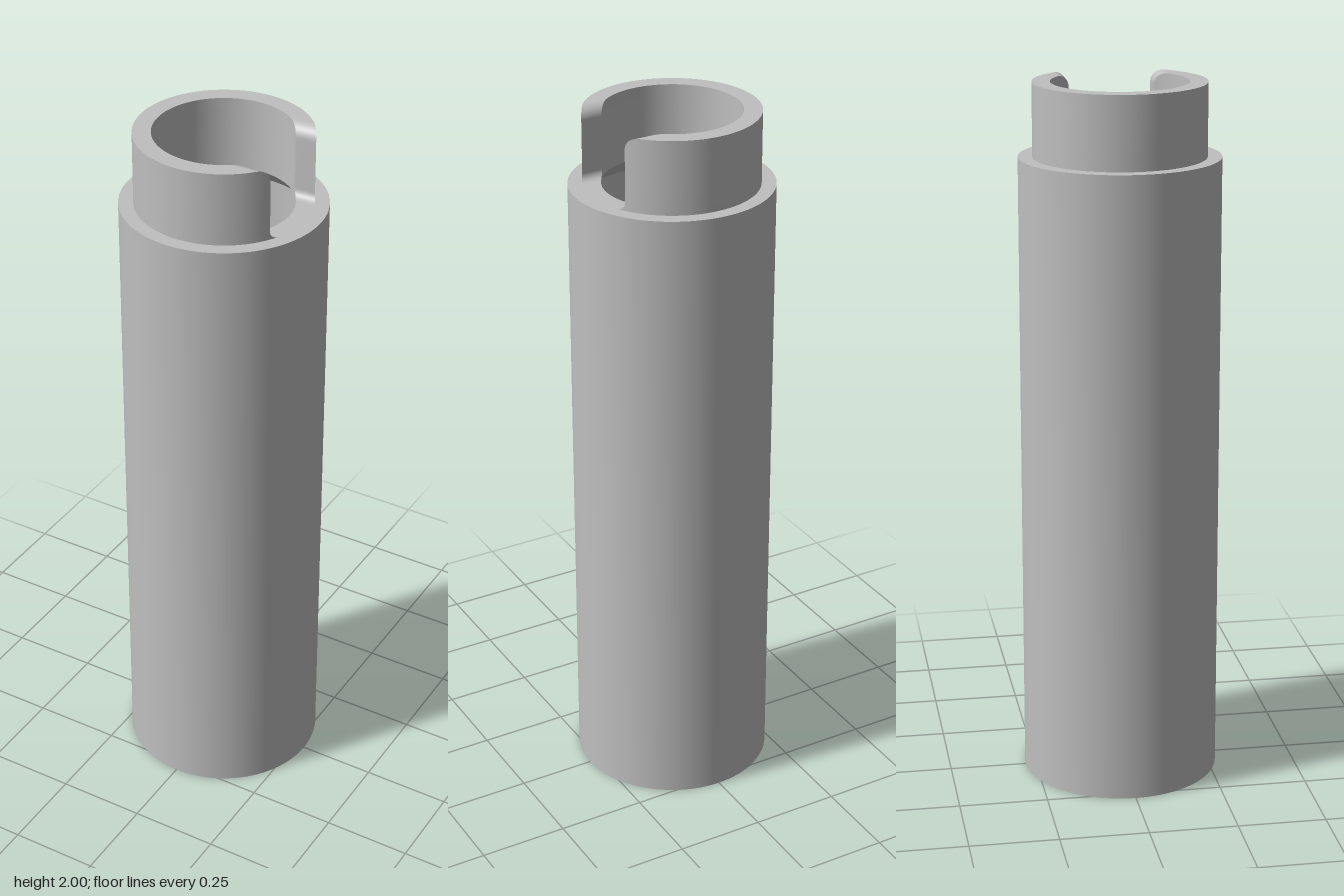
import * as THREE from 'three';
import { mergeGeometries, toCreasedNormals } from 'three/addons/utils/BufferGeometryUtils.js';

const OUTER = 0.28, NECK = 0.24, BORE = 0.19;
const SHOULDER = 1.795, TOP = 2;
const SLOT = 0.12, FILLET = 0.022, ROUND = 0.035;

// Grid surface from a function (u, v) -> [x, y, z]; front side faces du x dv
function patch(fn, nu, nv) {
  const pos = [], idx = [];
  for (let j = 0; j <= nv; j++)
    for (let i = 0; i <= nu; i++) pos.push(...fn(i / nu, j / nv));
  for (let j = 0; j < nv; j++)
    for (let i = 0; i < nu; i++) {
      const a = j * (nu + 1) + i, b = a + 1, d = a + nu + 1, c = d + 1;
      idx.push(a, b, c, a, c, d);
    }
  const g = new THREE.BufferGeometry();
  g.setAttribute('position', new THREE.Float32BufferAttribute(pos, 3));
  g.setIndex(idx);
  g.computeVertexNormals();
  return g;
}

// Slot edge as [half width, height]: fillet at the floor, rounded corner at the top
function slotEdge() {
  const pts = [], n = 8;
  for (let i = 0; i <= n; i++) {
    const t = (i / n) * Math.PI / 2;
    pts.push([SLOT - FILLET + FILLET * Math.sin(t), SHOULDER + FILLET * (1 - Math.cos(t))]);
  }
  for (let i = 0; i <= n; i++) {
    const t = (i / n) * Math.PI / 2;
    pts.push([SLOT + ROUND * (1 - Math.cos(t)), TOP - ROUND + ROUND * Math.sin(t)]);
  }
  return pts;
}

// Neck: a C-shaped wall with a slot facing +x
function neckGeometry() {
  const edge = slotEdge(), rows = edge.length - 1;
  const at = (r, s, row) => {
    const [w, y] = edge[Math.round(row * rows)];
    const a = Math.asin(w / r);
    const t = a + s * (2 * Math.PI - 2 * a);
    return [r * Math.cos(t), y, r * Math.sin(t)];
  };
  const mix = (k) => BORE + k * (NECK - BORE);
  return mergeGeometries([
    patch((u, v) => at(NECK, 1 - u, v), 96, rows), // outside
    patch((u, v) => at(BORE, u, v), 96, rows),     // inside
    patch((u, v) => at(mix(v), u, 1), 96, 1),      // rim
    patch((u, v) => at(mix(1 - u), 0, v), 1, rows), // slot walls
    patch((u, v) => at(mix(u), 1, v), 1, rows),
  ]);
}

// Sleeve: wide bore that closes with a cone under the shoulder
function sleeveGeometry() {
  const profile = [
    [NECK, 0], [OUTER, 0], [OUTER, SHOULDER], [BORE, SHOULDER],
    [NECK, SHOULDER - (NECK - BORE)], [NECK, 0],
  ].map(([x, y]) => new THREE.Vector2(x, y));
  return toCreasedNormals(new THREE.LatheGeometry(profile, 96), Math.PI / 6);
}

export function createModel() {
  const grey = new THREE.MeshStandardMaterial({ color: 0xbfbfbf });
  grey.name = 'grey';
  const group = new THREE.Group();
  group.name = 'slottedTube';
  const add = (name, geometry) => {
    const mesh = new THREE.Mesh(geometry, grey);
    mesh.name = name;
    group.add(mesh);
  };
  add('sleeve', sleeveGeometry());
  add('slottedNeck', neckGeometry());
  return group;
}
